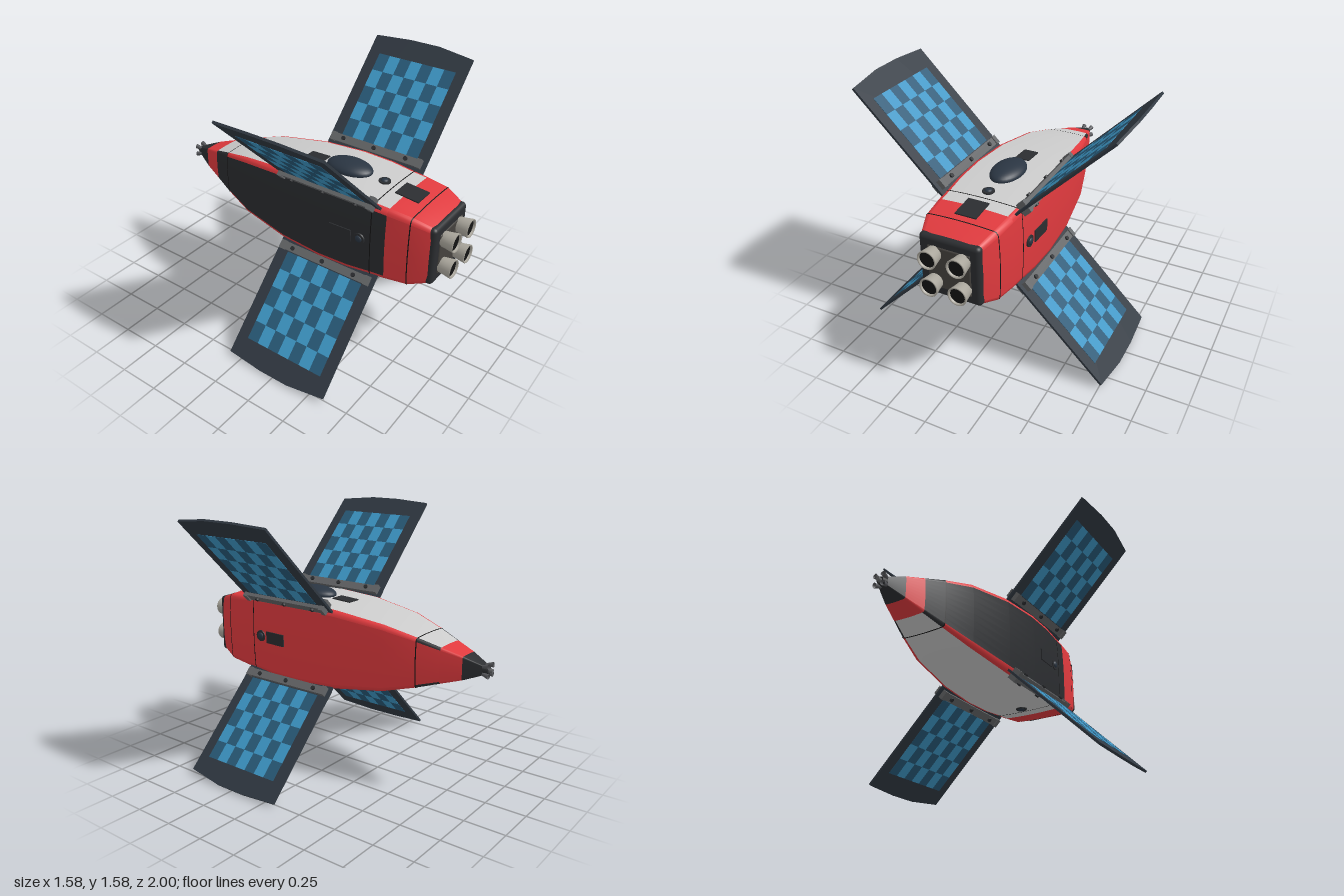
import * as THREE from 'three';
import { mergeGeometries } from 'three/addons/utils/BufferGeometryUtils.js';
import { RoundedBoxGeometry } from 'three/addons/geometries/RoundedBoxGeometry.js';

const mat = (color, side = THREE.FrontSide) => new THREE.MeshStandardMaterial({ color, side });
const GREY = mat(0xcccccc), RED = mat(0xe03a3e), DARK = mat(0x2b2d30), METAL = mat(0x626466);
const FRAME = mat(0x303841), CELL_LIGHT = mat(0x3d97c6), CELL_DARK = mat(0x285a78);
const GLASS = mat(0x2a3542), BROWN = mat(0x45423e), BLACK = mat(0x141414);
const NOZZLE = mat(0xaaa69c, THREE.DoubleSide);
const CENTRE_Y = 0.793;

// Hull half-size along z, nose to tail
const PROFILE = [[-0.95, 0.03], [-0.85, 0.07], [-0.73, 0.108], [-0.6, 0.15], [-0.4, 0.205], [-0.08, 0.25],
  [0.2, 0.264], [0.4, 0.26], [0.55, 0.248], [0.63, 0.243], [0.78, 0.228], [0.89, 0.188]];

function halfSize(z) {
  for (let i = 1; i < PROFILE.length; i++) {
    const [z0, h0] = PROFILE[i - 1], [z1, h1] = PROFILE[i];
    if (z <= z1) return h0 + (h1 - h0) * (z - z0) / (z1 - z0);
  }
  return PROFILE.at(-1)[1];
}

// Points of one hull face, or of the rounded corner after it (face 0 = top, then clockwise)
function sectionPoints(z, face, corner, offset) {
  const h = halfSize(z) + offset, e = 0.97 * h, c = 0.13 * h, pts = [];
  const n = corner ? 3 : 8;
  for (let i = 0; i <= n; i++) {
    const t = corner ? i / n * Math.PI / 2 : i / n * 2 - 1;
    const a = corner ? e - c + c * Math.sin(t) : t * (e - c);
    const b = corner ? e - c + c * Math.cos(t) : h * (1 - 0.03 * t * t);
    pts.push([[a, b], [b, -a], [-a, -b], [-b, a]][face]);
  }
  return pts;
}

function hullStrip(z0, z1, face, corner, offset = 0) {
  const zs = [z0, ...PROFILE.map(p => p[0]).filter(z => z > z0 + 0.001 && z < z1 - 0.001), z1];
  const pos = [], index = [];
  let n = 0;
  zs.forEach((z, j) => {
    const pts = sectionPoints(z, face, corner, offset);
    n = pts.length;
    for (const [x, y] of pts) pos.push(x, y, z);
    if (j === 0) return;
    for (let i = 0; i < n - 1; i++) {
      const a = (j - 1) * n + i, b = j * n + i;
      index.push(a, b, a + 1, a + 1, b, b + 1);
    }
  });
  const g = new THREE.BufferGeometry();
  g.setAttribute('position', new THREE.Float32BufferAttribute(pos, 3));
  g.setIndex(index);
  g.computeVertexNormals();
  return g;
}

function hullBand(z0, z1, offset) {
  return mergeGeometries([0, 1, 2, 3].flatMap(f => [hullStrip(z0, z1, f, false, offset), hullStrip(z0, z1, f, true, offset)]));
}

function add(parent, name, geometry, material, x = 0, y = 0, z = 0) {
  const m = new THREE.Mesh(geometry, material);
  m.name = name;
  m.position.set(x, y, z);
  parent.add(m);
  return m;
}

// Cylinder whose axis runs along z, r0 at the back and r1 at the front
const zCylinder = (r1, r0, len, seg = 24, open = false) =>
  new THREE.CylinderGeometry(r1, r0, len, seg, 1, open).rotateX(Math.PI / 2);

function buildHull(body) {
  add(body, 'noseTip', hullBand(-0.95, -0.85), DARK);
  add(body, 'noseBand', hullBand(-0.85, -0.73), RED);
  add(body, 'tailBand', hullBand(0.64, 0.89), RED);
  ['top', 'right', 'bottom', 'left'].forEach((_, f) => {
    const name = ['topPanel', 'leftPanel', 'bottomPanel', 'rightPanel'][f];
    add(body, name, hullStrip(-0.73, 0.64, f, false), [GREY, RED, GREY, DARK][f]);
    add(body, 'cornerEdge', hullStrip(-0.6, 0.64, f, true), RED);
    add(body, 'frontCornerEdge', hullStrip(-0.73, -0.6, f, true), DARK);
  });
  for (const z of [-0.6, 0.55, 0.78]) add(body, 'panelSeam', hullBand(z - 0.003, z + 0.003, 0.0015), BLACK);
}

function buildEngines(body) {
  add(body, 'enginePlate', new RoundedBoxGeometry(0.37, 0.37, 0.06, 3, 0.025), DARK, 0, 0, 0.887);
  add(body, 'engineInset', new RoundedBoxGeometry(0.26, 0.26, 0.02, 2, 0.009), BROWN, 0, 0, 0.913);
  const bell = [[0.034, 0], [0.045, 0.012], [0.05, 0.05], [0.057, 0.09], [0.054, 0.095], [0.047, 0.09], [0.042, 0.03], [0, 0.025]];
  const geo = new THREE.LatheGeometry(bell.map(p => new THREE.Vector2(...p)), 28).rotateX(Math.PI / 2);
  for (const x of [-0.087, 0.087]) for (const y of [-0.087, 0.087]) {
    add(body, 'engineNozzle', geo, NOZZLE, x, y, 0.905);
    add(body, 'nozzleInside', zCylinder(0.046, 0.041, 0.055, 28), BLACK, x, y, 0.959);
  }
}

function buildNoseThrusters(body) {
  add(body, 'noseCap', zCylinder(0.03, 0.022, 0.04, 16), DARK, 0, 0, -0.96);
  add(body, 'noseProbe', zCylinder(0.014, 0.012, 0.03, 12), METAL, 0, 0, -0.985);
  for (let i = 0; i < 4; i++) {
    const arm = new THREE.Group();
    arm.name = 'noseThruster';
    arm.rotation.z = Math.PI / 4 + i * Math.PI / 2;
    const cone = add(arm, 'thrusterCone', zCylinder(0.009, 0.015, 0.045, 14, true), mat(0x55565a, THREE.DoubleSide), 0, 0.034, -0.968);
    cone.rotation.x = 0.25;
    body.add(arm);
  }
}

function addPort(parent, z) {
  const y = halfSize(z);
  add(parent, 'portRing', new THREE.CylinderGeometry(0.035, 0.037, 0.014, 24), DARK, 0, y, z);
  add(parent, 'portGlass', new THREE.SphereGeometry(0.022, 20, 10).scale(1, 0.5, 1), GLASS, 0, y + 0.006, z);
}

function addPlate(parent, z, w, d) {
  const plate = add(parent, 'hatchPlate', new THREE.BoxGeometry(w, 0.016, d), DARK, 0, halfSize(z) - 0.002, z);
  plate.rotation.x = Math.atan((halfSize(z - d / 2) - halfSize(z + d / 2)) / d);
}

function buildDetails(body) {
  for (let f = 0; f < 4; f++) {
    const face = new THREE.Group();
    face.name = ['topDetails', 'leftDetails', 'bottomDetails', 'rightDetails'][f];
    face.rotation.z = -f * Math.PI / 2;
    addPort(face, 0.48);
    if (f % 2) addPlate(face, 0.355, 0.075, 0.145);
    if (f === 0) {
      addPlate(face, 0.005, 0.09, 0.13);
      addPlate(face, 0.662, 0.13, 0.15);
      add(face, 'canopyDome', new THREE.SphereGeometry(1, 32, 20).scale(0.095, 0.047, 0.15), GLASS, 0, 0.267, 0.242);
    }
    body.add(face);
  }
}

// Solar wing standing along local +y, width along z
function buildWing() {
  const wing = new THREE.Group();
  wing.name = 'solarWing';
  const outline = [[-0.08, 0.3], [0.6, 0.3], [0.6, 1.08], [0.36, 1.112], [0.16, 1.112], [-0.08, 1.094]];
  const shape = new THREE.Shape(outline.map(p => new THREE.Vector2(...p)));
  const panel = new THREE.ExtrudeGeometry(shape, { depth: 0.014, bevelEnabled: false });
  add(wing, 'wingFrame', panel.translate(0, 0, -0.007).rotateY(-Math.PI / 2), FRAME);

  // Checkered cells on both sides
  const cells = [[], []], dr = 0.1146, dz = 0.0765;
  for (let i = 0; i < 5; i++) for (let j = 0; j < 7; j++) {
    cells[(i + j) % 2].push(new THREE.BoxGeometry(0.018, dr, dz)
      .translate(0, 0.403 + (i + 0.5) * dr, -0.005 + (j + 0.5) * dz));
  }
  add(wing, 'darkCells', mergeGeometries(cells[0]), CELL_DARK);
  add(wing, 'lightCells', mergeGeometries(cells[1]), CELL_LIGHT);

  // Hinge rails clamping the root, with bolts
  for (const s of [-1, 1]) {
    add(wing, 'hingeRail', new THREE.BoxGeometry(0.022, 0.05, 0.635), METAL, s * 0.019, 0.373, 0.2575);
    for (const z of [0.03, 0.25, 0.47]) {
      const bolt = new THREE.CylinderGeometry(0.013, 0.013, 0.014, 12).rotateZ(Math.PI / 2);
      add(wing, 'hingeBolt', bolt, DARK, s * 0.034, 0.375, z);
    }
    for (const z of [-0.045, 0.56])
      add(wing, 'hingeBlock', new THREE.BoxGeometry(0.03, 0.056, 0.03), METAL, s * 0.023, 0.373, z);
  }
  return wing;
}

export function createModel() {
  const model = new THREE.Group();
  model.name = 'spacecraft';
  const body = new THREE.Group();
  body.name = 'body';
  body.position.y = CENTRE_Y;
  model.add(body);
  buildHull(body);
  buildEngines(body);
  buildNoseThrusters(body);
  buildDetails(body);
  for (let i = 0; i < 4; i++) {
    const wing = buildWing();
    wing.rotation.z = -Math.PI / 4 - i * Math.PI / 2;
    body.add(wing);
  }
  return model;
}
